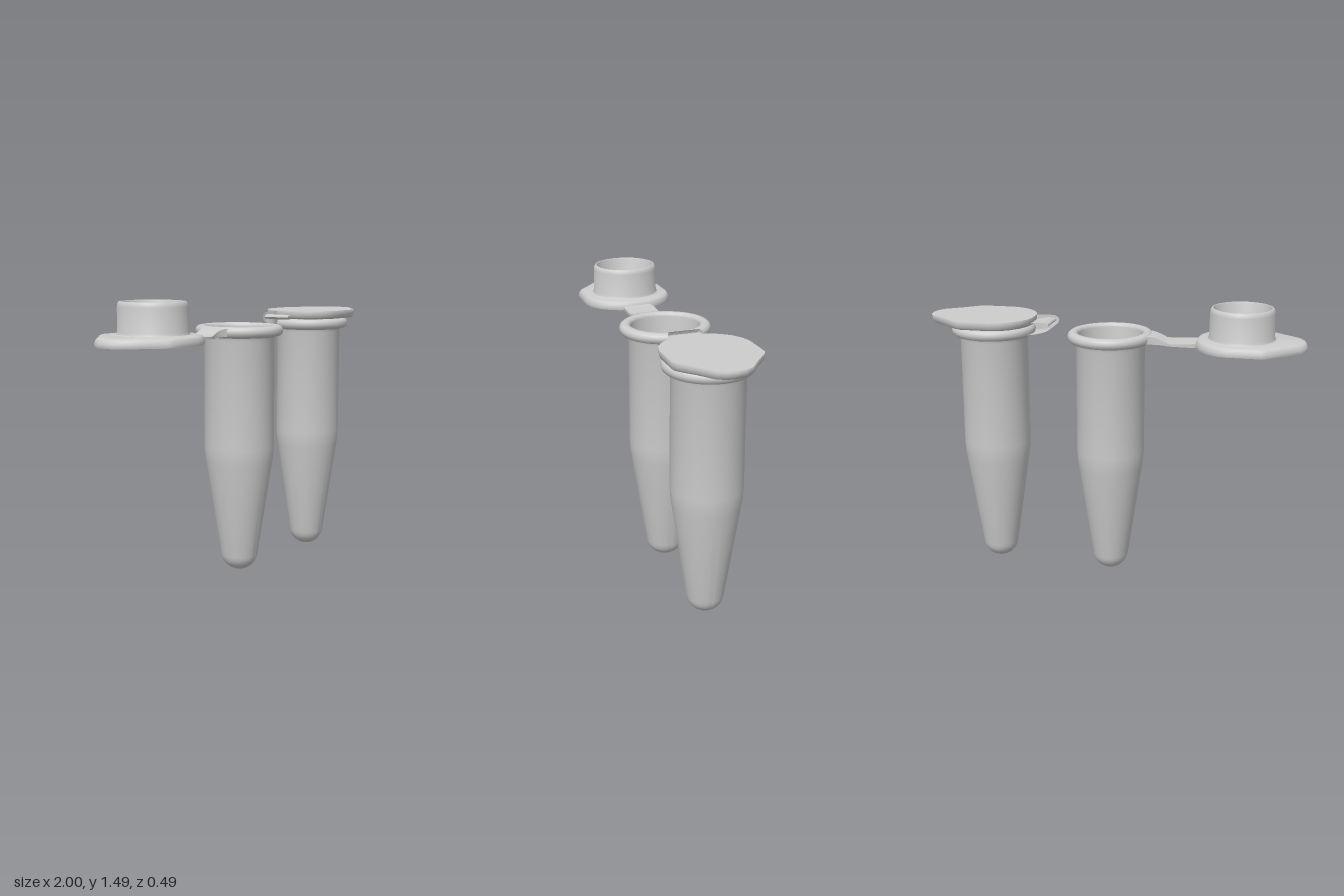
import * as THREE from 'three';
import { toCreasedNormals } from 'three/addons/utils/BufferGeometryUtils.js';

const plastic = new THREE.MeshStandardMaterial({ color: 0xcccccc });
plastic.name = 'grey plastic';

function part(geometry, name, crease = 0.7) {
  const mesh = new THREE.Mesh(toCreasedNormals(geometry, crease), plastic);
  mesh.name = name;
  return mesh;
}

function lathe(points) {
  return new THREE.LatheGeometry(points.map(([r, y]) => new THREE.Vector2(r, y)), 64);
}

// Skin a stack of equal-length point rings and close both ends with fans
function loft(rings) {
  const n = rings[0].length;
  const pos = rings.flat(2);
  const index = [];
  for (let k = 0; k < rings.length - 1; k++) {
    for (let i = 0; i < n; i++) {
      const a = k * n + i, b = k * n + (i + 1) % n;
      index.push(a, a + n, b, b, a + n, b + n);
    }
  }
  const last = (rings.length - 1) * n;
  for (let i = 1; i < n - 1; i++) {
    index.push(0, i, i + 1, last, last + i + 1, last + i);
  }
  const g = new THREE.BufferGeometry();
  g.setAttribute('position', new THREE.Float32BufferAttribute(pos, 3));
  g.setIndex(index);
  g.computeVertexNormals();
  return g;
}

// Quarter arc of the round tip, running from the axis outwards
function tipArc(r, cy) {
  return Array.from({ length: 9 }, (_, i) => {
    const a = (i / 8) * 1.43;
    return [r * Math.sin(a), cy - r * Math.cos(a)];
  });
}

// Hollow conical tube with a rounded collar; outside going up, inside going down
function makeTube() {
  const profile = [
    ...tipArc(0.097, 0.097),
    [0.172, 0.6], [0.178, 0.645], [0.18, 0.69], [0.18, 1.265],
    [0.184, 1.28], [0.195, 1.285], [0.21, 1.287], [0.22, 1.296], [0.224, 1.313],
    [0.22, 1.328], [0.21, 1.337], [0.195, 1.34], [0.18, 1.339], [0.172, 1.332],
    [0.17, 1.32], [0.168, 0.68], [0.162, 0.62],
    ...tipArc(0.085, 0.1).reverse(),
  ];
  return part(lathe(profile), 'tube');
}

// Lid lying on its flat face: plug up, finger tab towards +x
function makeLid() {
  const lid = new THREE.Group();
  const half = [
    [0.335, 0], [0.329, 0.045], [0.305, 0.088], [0.22, 0.152], [0.15, 0.213], [0.12, 0.228],
    [-0.05, 0.228], [-0.105, 0.214], [-0.155, 0.183], [-0.195, 0.138], [-0.22, 0.09],
    [-0.23, 0.05], [-0.232, 0],
  ];
  const outline = [...half, ...half.slice(1, -1).reverse().map(([x, z]) => [x, -z])];
  const levels = [[0, 0.995], [0.004, 1], [0.018, 0.997], [0.032, 0.98], [0.041, 0.955], [0.045, 0.91]];
  const rings = levels.map(([y, s]) => outline.map(([x, z]) => [x * s, y, z * s]));
  lid.add(part(loft(rings), 'lidPlate'));

  // Hollow sealing plug
  const plug = lathe([
    [0.182, 0.043], [0.172, 0.048], [0.167, 0.06], [0.165, 0.18], [0.162, 0.196],
    [0.156, 0.204], [0.15, 0.205], [0.147, 0.198], [0.145, 0.065], [0.14, 0.053], [0, 0.05],
  ]);
  lid.add(part(plug, 'lidPlug'));
  return lid;
}

// Hinge strap from sections [upper x, upper y, lower x, lower y, half width]
function makeHinge(sections) {
  const rings = sections.map(([x1, y1, x2, y2, w]) => [
    [x1, y1, w], [x1, y1, -w], [x2, y2, -w], [x2, y2, w],
  ]);
  return part(loft(rings), 'hinge', 0.6);
}

export function createModel() {
  const model = new THREE.Group();
  model.name = 'sampleTubes';

  // Open tube with its lid folded out flat
  const open = new THREE.Group();
  open.name = 'openTube';
  const openTube = makeTube();
  openTube.position.x = 0.02;
  const openLid = makeLid();
  openLid.name = 'openLid';
  openLid.rotation.y = Math.PI;
  openLid.position.set(-0.665, 1.285, 0);
  const openHinge = makeHinge([
    [-0.48, 1.315, -0.48, 1.287, 0.06],
    [-0.44, 1.309, -0.44, 1.287, 0.066],
    [-0.41, 1.305, -0.41, 1.288, 0.078],
    [-0.32, 1.301, -0.32, 1.289, 0.078],
    [-0.295, 1.302, -0.295, 1.288, 0.07],
    [-0.27, 1.307, -0.27, 1.288, 0.058],
    [-0.235, 1.324, -0.235, 1.29, 0.058],
    [-0.2, 1.332, -0.2, 1.292, 0.068],
    [-0.165, 1.333, -0.165, 1.294, 0.085],
  ]);
  open.add(openTube, openLid, openHinge);
  open.scale.z = 1.065;

  // Closed tube with its lid pressed in and the hinge bent back
  const closed = new THREE.Group();
  closed.name = 'closedTube';
  const closedTube = makeTube();
  closedTube.position.set(0.662, 0.008, 0);
  const closedLid = makeLid();
  closedLid.name = 'closedLid';
  closedLid.rotation.x = Math.PI;
  closedLid.position.set(0.665, 1.395, 0);
  const closedHinge = makeHinge([
    [0.48, 1.392, 0.48, 1.36, 0.06],
    [0.43, 1.392, 0.43, 1.37, 0.064],
    [0.4, 1.391, 0.4, 1.375, 0.066],
    [0.375, 1.391, 0.375, 1.377, 0.077],
    [0.345, 1.389, 0.35, 1.376, 0.078],
    [0.326, 1.38, 0.341, 1.371, 0.078],
    [0.32, 1.365, 0.338, 1.364, 0.078],
    [0.326, 1.348, 0.344, 1.356, 0.078],
    [0.345, 1.334, 0.36, 1.352, 0.076],
    [0.375, 1.321, 0.385, 1.35, 0.064],
    [0.42, 1.31, 0.42, 1.347, 0.062],
    [0.48, 1.303, 0.48, 1.343, 0.08],
  ]);
  closed.add(closedTube, closedLid, closedHinge);
  closed.position.z = 0.014;

  model.add(open, closed);
  return model;
}
